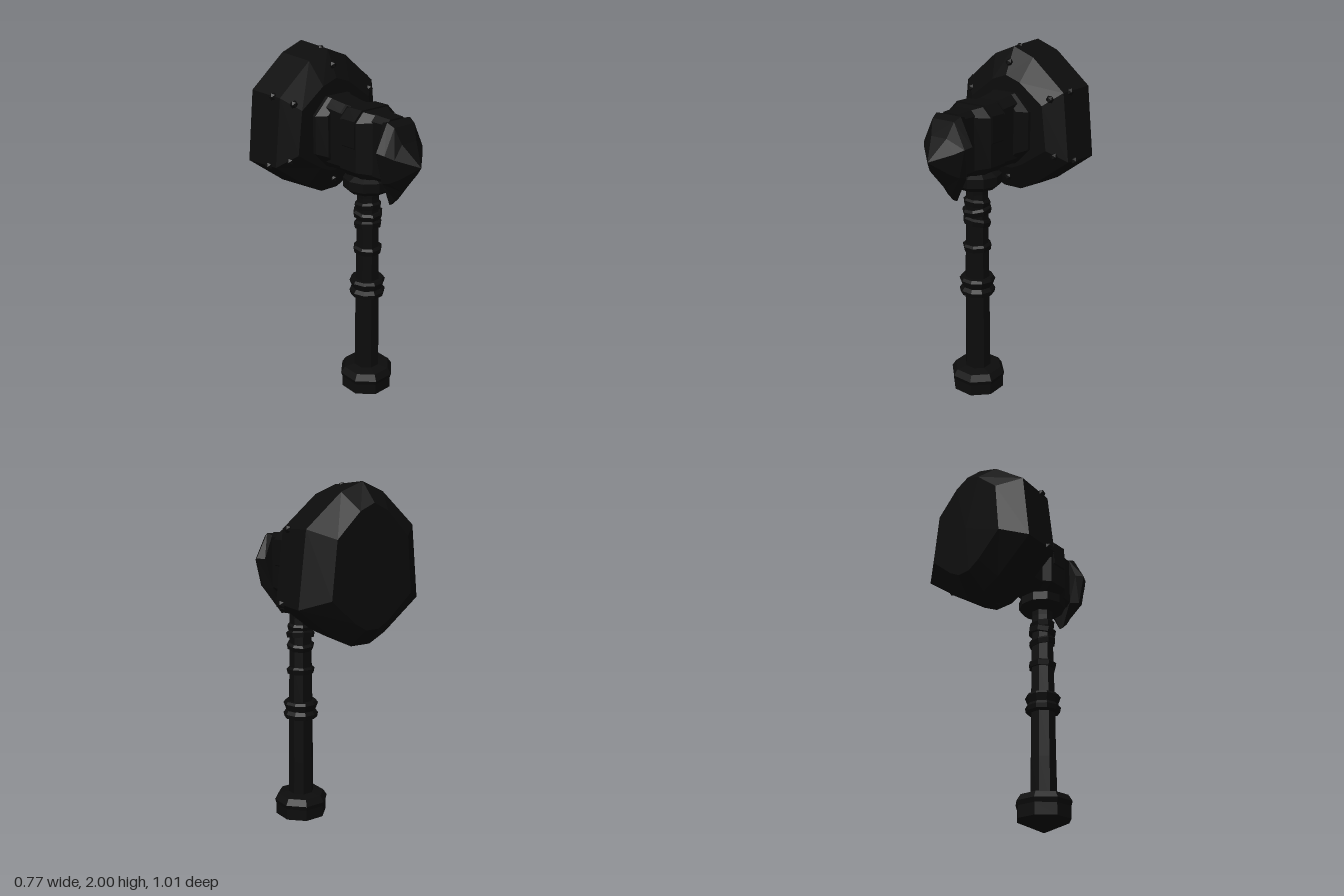
import * as THREE from 'three';

const dark = new THREE.MeshStandardMaterial({ color: 0x0c0c0c, flatShading: true });
const AXIS_Z = 0.13; // handle axis

// Mirror a right-hand half outline (bottom to top) into a closed ring at depth z
function ring(half, z) {
  const left = half.filter(p => p[0] > 0).reverse().map(([x, y]) => [-x, y]);
  return [...half, ...left].map(([x, y]) => new THREE.Vector3(x, y, z));
}

// Chamfered rectangle ring
function octagon(z, w, y0, y1, c) {
  return ring([[w - c, y0], [w, y0 + c], [w, y1 - c], [w - c, y1]], z);
}

// Skin a run of rings ordered from back to front, with both ends closed
function loft(rings) {
  const pos = [];
  const tri = (...pts) => pts.forEach(p => pos.push(p.x, p.y, p.z));
  const middle = r => r.reduce((s, p) => s.add(p), new THREE.Vector3()).divideScalar(r.length);
  const n = rings[0].length, first = rings[0], last = rings[rings.length - 1];
  const back = middle(first), front = middle(last);
  for (let j = 0; j < n; j++) {
    const k = (j + 1) % n;
    for (let i = 0; i < rings.length - 1; i++) {
      const a = rings[i][j], b = rings[i][k], c = rings[i + 1][k], d = rings[i + 1][j];
      tri(a, b, c);
      tri(a, c, d);
    }
    tri(back, first[k], first[j]);
    tri(front, last[j], last[k]);
  }
  const g = new THREE.BufferGeometry();
  g.setAttribute('position', new THREE.Float32BufferAttribute(pos, 3));
  g.computeVertexNormals();
  return g;
}

export function createModel() {
  const model = new THREE.Group();
  model.name = 'warHammer';

  function add(name, geometry, x = 0, y = 0, z = 0) {
    const mesh = new THREE.Mesh(geometry, dark);
    mesh.name = name;
    mesh.position.set(x, y, z);
    model.add(mesh);
    return mesh;
  }
  function turned(name, profile, y = 0, sides = 8) {
    const g = new THREE.LatheGeometry(profile.map(p => new THREE.Vector2(...p)), sides);
    g.rotateY(Math.PI / sides);
    return add(name, g, 0, y, AXIS_Z);
  }

  // Heavy striking head: a hexagonal drum with bevelled faces
  const outline = [[0.06, 1.185], [0.16, 1.235], [0.38, 1.4], [0.335, 1.78], [0.13, 1.95], [0, 2]];
  const headRing = (z, sx, sy) =>
    ring(outline.map(([x, y]) => [x * sx, 1.58 + (y - 1.58) * sy]), z);
  add('head', loft([
    headRing(-0.505, 0.66, 0.76),
    headRing(-0.41, 1, 1),
    headRing(-0.19, 0.96, 0.96),
    headRing(-0.12, 0.7, 0.62),
  ]));

  // Rivets on the rim and on the front bevel
  const stud = new THREE.IcosahedronGeometry(0.022, 0);
  const corners = [[0.38, 1.4], [0.335, 1.78], [-0.38, 1.4], [-0.335, 1.78], [0, 1.99], [0, 1.19]];
  for (const [x, y] of corners) {
    add('rimRivet', stud, x * 0.97, 1.58 + (y - 1.58) * 0.96, -0.245);
    add('faceRivet', stud, x * 0.79, 1.58 + (y - 1.58) * 0.79, -0.15);
  }

  // Collar where the neck meets the head
  add('headCollar', loft([
    octagon(-0.14, 0.165, 1.37, 1.755, 0.09),
    octagon(-0.1, 0.165, 1.37, 1.755, 0.09),
    octagon(-0.05, 0.12, 1.375, 1.74, 0.07),
  ]));

  // Neck running from the head to the beak
  add('neck', loft([
    octagon(-0.13, 0.11, 1.37, 1.755, 0.04),
    octagon(0.02, 0.1, 1.37, 1.735, 0.04),
    octagon(0.33, 0.07, 1.38, 1.715, 0.025),
  ]));

  // Socket block above the handle, with strap and side plates
  add('socketBlock', loft([
    octagon(0.02, 0.1, 1.37, 1.73, 0.05),
    octagon(0.06, 0.135, 1.37, 1.73, 0.05),
    octagon(0.18, 0.135, 1.37, 1.73, 0.05),
    octagon(0.25, 0.072, 1.38, 1.715, 0.03),
  ]));
  add('socketStrap', loft([
    octagon(0.08, 0.141, 1.5, 1.738, 0.05),
    octagon(0.175, 0.141, 1.5, 1.738, 0.05),
  ]));

  // Pointed beak with a downward spur
  const beak = [
    [0.305, [[0.012, 1.25], [0.07, 1.4], [0.12, 1.57], [0.07, 1.7]]],
    [0.345, [[0.012, 1.29], [0.11, 1.4], [0.152, 1.57], [0.08, 1.71]]],
    [0.385, [[0.01, 1.345], [0.1, 1.41], [0.135, 1.56], [0.07, 1.69]]],
    [0.42, [[0.01, 1.39], [0.07, 1.43], [0.1, 1.54], [0.05, 1.61]]],
    [0.505, [[0.001, 1.497], [0.002, 1.499], [0.002, 1.501], [0.001, 1.503]]],
  ];
  add('beak', loft(beak.map(([z, half]) => ring(half, z))));

  // Handle with its guard, grip rings and pommel
  turned('handle', [[0, 0.15], [0.075, 0.15], [0.072, 0.4], [0.07, 0.7], [0.066, 0.95],
    [0.062, 1.25], [0.07, 1.38], [0, 1.38]]);
  turned('guard', [[0.06, 1.28], [0.105, 1.285], [0.135, 1.31], [0.135, 1.36], [0.1, 1.38], [0, 1.38]], 0, 10);
  turned('gripRing', [[0.06, 0.655], [0.095, 0.665], [0.1, 0.69], [0.085, 0.71],
    [0.1, 0.75], [0.09, 0.765], [0.06, 0.765]], 0, 10);
  const wraps = [[0.945, 0.082, 0.04], [1.09, 0.08, -0.18], [1.155, 0.083, 0.14], [1.2, 0.076, -0.1]];
  for (const [y, r, tilt] of wraps) {
    const wrap = turned('gripWrap', [[0.05, -0.02], [r - 0.006, -0.02], [r, 0.008], [r - 0.012, 0.02], [0.05, 0.02]], y);
    wrap.rotation.set(tilt, 0, tilt / 2);
  }
  turned('pommel', [[0, 0.005], [0.15, 0.07], [0.15, 0.135], [0.158, 0.16], [0.135, 0.195], [0.075, 0.205], [0, 0.205]]);

  return model;
}
